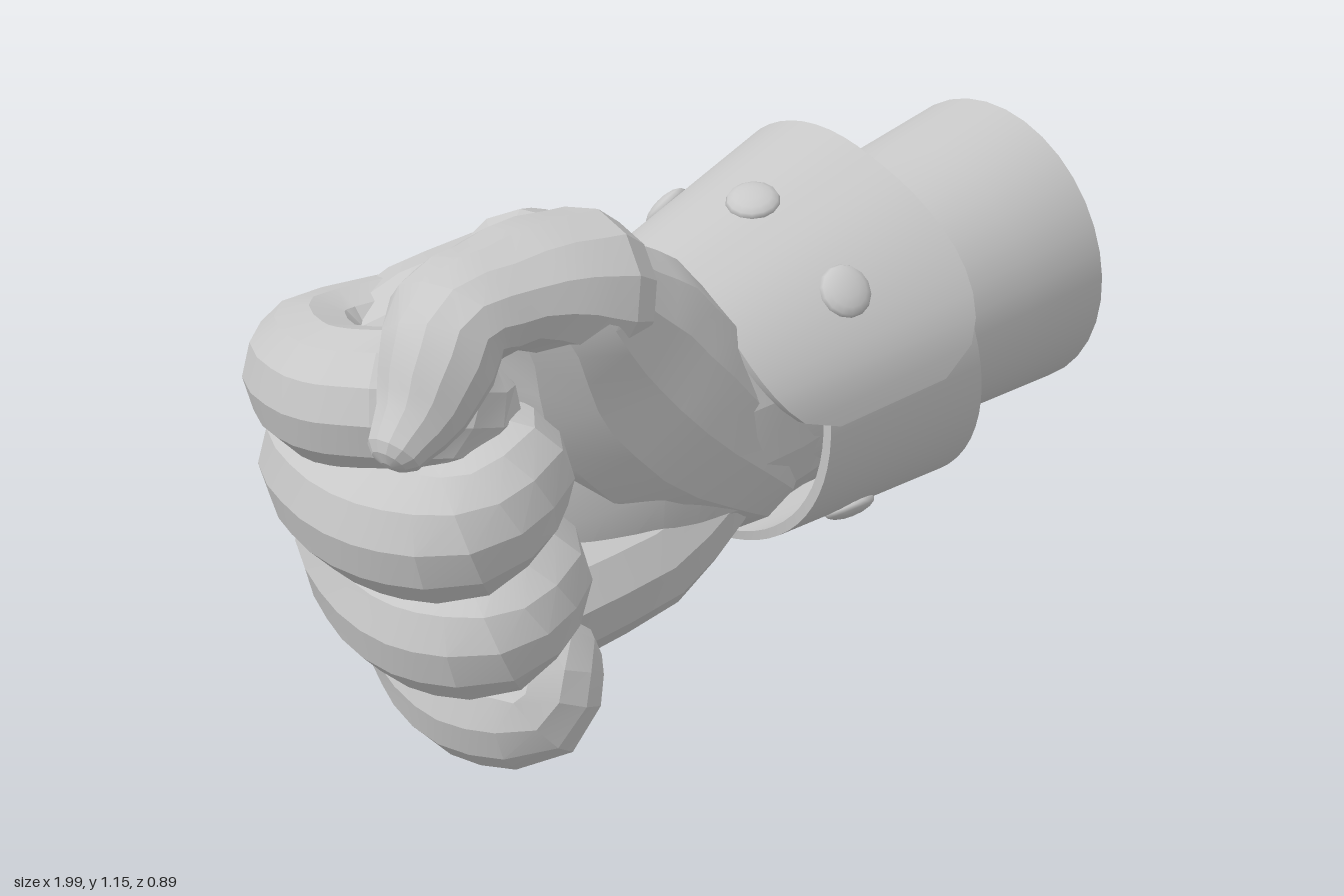
import * as THREE from 'three';
import { toCreasedNormals } from 'three/addons/utils/BufferGeometryUtils.js';

const V = (x, y, z) => new THREE.Vector3(x, y, z);
const { clamp, lerp, degToRad } = THREE.MathUtils;

// Skin a series of closed rings and close both ends with fans
function skin(rings, crease) {
  const n = rings[0].length, pos = [], index = [];
  rings.forEach(ring => ring.forEach(p => pos.push(p.x, p.y, p.z)));
  for (let i = 0; i < rings.length - 1; i++) {
    for (let j = 0; j < n; j++) {
      const a = i * n + j, b = i * n + (j + 1) % n;
      index.push(a, b, a + n, b, b + n, a + n);
    }
  }
  const last = (rings.length - 1) * n;
  for (const [base, ring] of [[0, rings[0]], [last, rings[rings.length - 1]]]) {
    const c = ring.reduce((s, p) => s.add(p), V(0, 0, 0)).divideScalar(n);
    const k = pos.length / 3;
    pos.push(c.x, c.y, c.z);
    for (let j = 0; j < n; j++) {
      const a = base + j, b = base + (j + 1) % n;
      index.push(k, ...(base === 0 ? [b, a] : [a, b]));
    }
  }
  const geo = new THREE.BufferGeometry();
  geo.setAttribute('position', new THREE.Float32BufferAttribute(pos, 3));
  geo.setIndex(index);
  return toCreasedNormals(geo, crease);
}

// Tapered limb through stations [x, y, z, radius along ref, radius across]
function limb(stations, ref, { sides = 12, steps = 10, round = true, power = 1, crease = 0.3 } = {}) {
  const curve = new THREE.CatmullRomCurve3(stations.map(s => V(s[0], s[1], s[2])));
  const m = stations.length - 1, rings = [];
  const pw = c => Math.sign(c) * Math.abs(c) ** power;
  const addRing = (t, scale, push) => {
    const f = t * m, i = Math.min(Math.floor(f), m - 1), A = stations[i], B = stations[i + 1];
    const r1 = lerp(A[3], B[3], f - i), r2 = lerp(A[4], B[4], f - i);
    const T = curve.getTangent(t);
    const N = ref.clone().addScaledVector(T, -ref.dot(T)).normalize();
    const S = T.clone().cross(N);
    const c = curve.getPoint(t).addScaledVector(T, push * Math.min(r1, r2));
    const ring = [];
    for (let j = 0; j < sides; j++) {
      const a = j / sides * Math.PI * 2;
      ring.push(c.clone().addScaledVector(N, pw(Math.cos(a)) * r1 * scale)
        .addScaledVector(S, pw(Math.sin(a)) * r2 * scale));
    }
    rings.push(ring);
  };
  const dome = [80, 55, 28].map(degToRad);
  if (round) dome.forEach(a => addRing(0, Math.cos(a), -Math.sin(a) * 0.8));
  for (let i = 0; i <= steps; i++) addRing(i / steps, 1, 0);
  if (round) dome.reverse().forEach(a => addRing(1, Math.cos(a), Math.sin(a) * 0.8));
  return skin(rings, crease);
}

// Cuff surface: tilted cone whose free end spirals slightly outward
const cuffA = V(-0.01, 0.6, 0.035), cuffB = V(0.505, 0.68, -0.055);
const cuffUp = V(-0.235, 1, 0).normalize(), cuffFront = V(0.09, 0, 1).normalize();
function cuffPoint(deg, v, inset = 0) {
  const a = degToRad(deg), lift = lerp(0.03, 0.06, v) * clamp((deg - 385) / 50, 0, 1) - inset;
  return cuffA.clone().lerp(cuffB, v)
    .addScaledVector(cuffUp, Math.cos(a) * (lerp(0.355, 0.435, v) + lift))
    .addScaledVector(cuffFront, Math.sin(a) * (lerp(0.32, 0.395, v) + lift));
}

function cuffGeometry() {
  const rings = [], start = 65, end = 449, count = 64;
  for (let i = 0; i <= count; i++) {
    const deg = lerp(start, end, i / count);
    const t = clamp((deg - 415) / 34, 0, 1);
    const corner = 0.27 * (1 - Math.sqrt(1 - t * t));
    const v0 = 0.24 * clamp(1 - (deg - 80) / 110, 0, 1) - 0.06 * clamp((deg - 340) / 60, 0, 1)
      - 0.09 * Math.max(0, -Math.sin(degToRad(deg))) + corner;
    const v1 = 1 - corner;
    rings.push([cuffPoint(deg, v0, 0.022), cuffPoint(deg, v1, 0.022), cuffPoint(deg, v1), cuffPoint(deg, v0)]);
  }
  return skin(rings, 0.5);
}

export function createModel() {
  const grey = new THREE.MeshStandardMaterial({ color: 0xc8c8c8 });
  grey.name = 'plain grey';
  const model = new THREE.Group();
  model.name = 'clenchedFist';
  const add = (name, geo) => {
    const mesh = new THREE.Mesh(geo, grey);
    mesh.name = name;
    model.add(mesh);
    return mesh;
  };
  const up = V(0, 1, 0), front = V(0, 0, 1);

  // Forearm with a flat cut end
  add('forearm', limb([
    [0, 0.62, 0.035, 0.285, 0.29], [0.5, 0.665, -0.035, 0.3, 0.305], [0.95, 0.716, -0.092, 0.343, 0.328],
  ], up, { sides: 36, steps: 4, round: false, crease: 0.5 }));

  // Back of the hand, its lower edge, and the solid middle of the fist
  add('palm', limb([
    [0.15, 0.635, 0.02, 0.27, 0.28], [-0.05, 0.62, 0.04, 0.285, 0.3], [-0.2, 0.62, 0.02, 0.36, 0.3],
    [-0.38, 0.595, -0.035, 0.43, 0.275], [-0.56, 0.565, -0.09, 0.41, 0.235], [-0.7, 0.55, -0.125, 0.36, 0.18],
  ], up, { sides: 18, steps: 10, power: 0.85 }));
  add('handEdge', limb([
    [-0.1, 0.49, 0, 0.15, 0.22], [-0.34, 0.335, -0.04, 0.17, 0.21], [-0.58, 0.265, -0.07, 0.17, 0.18],
  ], up, { steps: 5 }));
  add('palmHeel', limb([
    [-0.06, 0.47, 0.16, 0.12, 0.14], [-0.22, 0.38, 0.15, 0.16, 0.17], [-0.42, 0.32, 0.12, 0.17, 0.17],
  ], up, { steps: 4 }));
  add('fistCore', limb([
    [-0.74, 0.8, 0.04, 0.14, 0.12], [-0.66, 0.5, 0.08, 0.2, 0.17], [-0.54, 0.25, 0.08, 0.15, 0.12],
  ], front, { steps: 5 }));

  // Thumb, its fleshy base and the web joining it to the hand
  add('thumbBase', limb([
    [0.02, 0.51, 0.14, 0.18, 0.17], [-0.18, 0.67, 0.17, 0.2, 0.25],
    [-0.34, 0.84, 0.18, 0.2, 0.25], [-0.45, 0.99, 0.21, 0.19, 0.165],
  ], front, { steps: 8 }));
  add('thumbWeb', limb([
    [-0.14, 0.73, 0.02, 0.18, 0.16], [-0.3, 0.875, 0.04, 0.19, 0.19], [-0.44, 0.98, 0.12, 0.17, 0.15],
  ], front, { steps: 5 }));
  add('thumb', limb([
    [-0.4, 0.98, 0.21, 0.19, 0.17], [-0.5, 1.015, 0.22, 0.18, 0.135], [-0.62, 1.03, 0.245, 0.155, 0.1],
    [-0.72, 1.01, 0.27, 0.14, 0.11], [-0.77, 0.945, 0.3, 0.12, 0.11],
    [-0.82, 0.875, 0.32, 0.095, 0.09], [-0.88, 0.825, 0.34, 0.065, 0.06],
  ], front, { steps: 12 }));

  // Fingers: knuckle height, middle height, tip height, foremost x, tip x, front z, radius
  const fingers = {
    indexFinger: [0.81, 0.83, 0.78, -0.855, -0.66, 0.21, 0.14],
    middleFinger: [0.62, 0.6, 0.67, -0.815, -0.61, 0.29, 0.155],
    ringFinger: [0.44, 0.36, 0.43, -0.745, -0.56, 0.275, 0.152],
    littleFinger: [0.27, 0.14, 0.22, -0.635, -0.51, 0.25, 0.138],
  };
  for (const [name, [yk, ym, yt, x, xt, z, r]] of Object.entries(fingers)) {
    add(name, limb([
      [x + 0.34, yk + 0.03, -0.14, r * 0.8, r * 0.85], [x + 0.07, yk, -0.14, r, r],
      [x, lerp(yk, ym, 0.6), 0.03, r, r * 0.95], [x + 0.02, ym, z - 0.1, r, r],
      [x + 0.09, ym + 0.01, z, r, r], [xt, yt, z - 0.02, r * 0.9, r * 0.9], [xt + 0.03, yt, z - 0.14, r * 0.8, r * 0.8],
    ], up, { steps: 18 }));
  }

  // Wrap-around cuff with an overlapping rounded flap, and its closed rim
  add('cuff', cuffGeometry());
  const axis = cuffUp.clone().cross(cuffFront).normalize();
  const rimStations = [-0.03, 0.002].map(d => {
    const p = cuffB.clone().addScaledVector(axis, d);
    return [p.x, p.y, p.z, 0.43, 0.39];
  });
  add('cuffRim', limb(rimStations, up, { sides: 48, steps: 1, round: false }));

  // Domed studs around the cuff
  const studGeo = new THREE.SphereGeometry(0.058, 14, 8);
  studGeo.scale(1, 0.4, 1);
  for (const deg of [148, 238, 316, 370, 414]) {
    const stud = add('stud', studGeo);
    const p = cuffPoint(deg, 0.47);
    const along = cuffPoint(deg, 0.57).sub(p);
    const around = cuffPoint(deg + 3, 0.47).sub(p);
    stud.position.copy(p);
    stud.quaternion.setFromUnitVectors(up, around.cross(along).normalize());
  }
  return model;
}
